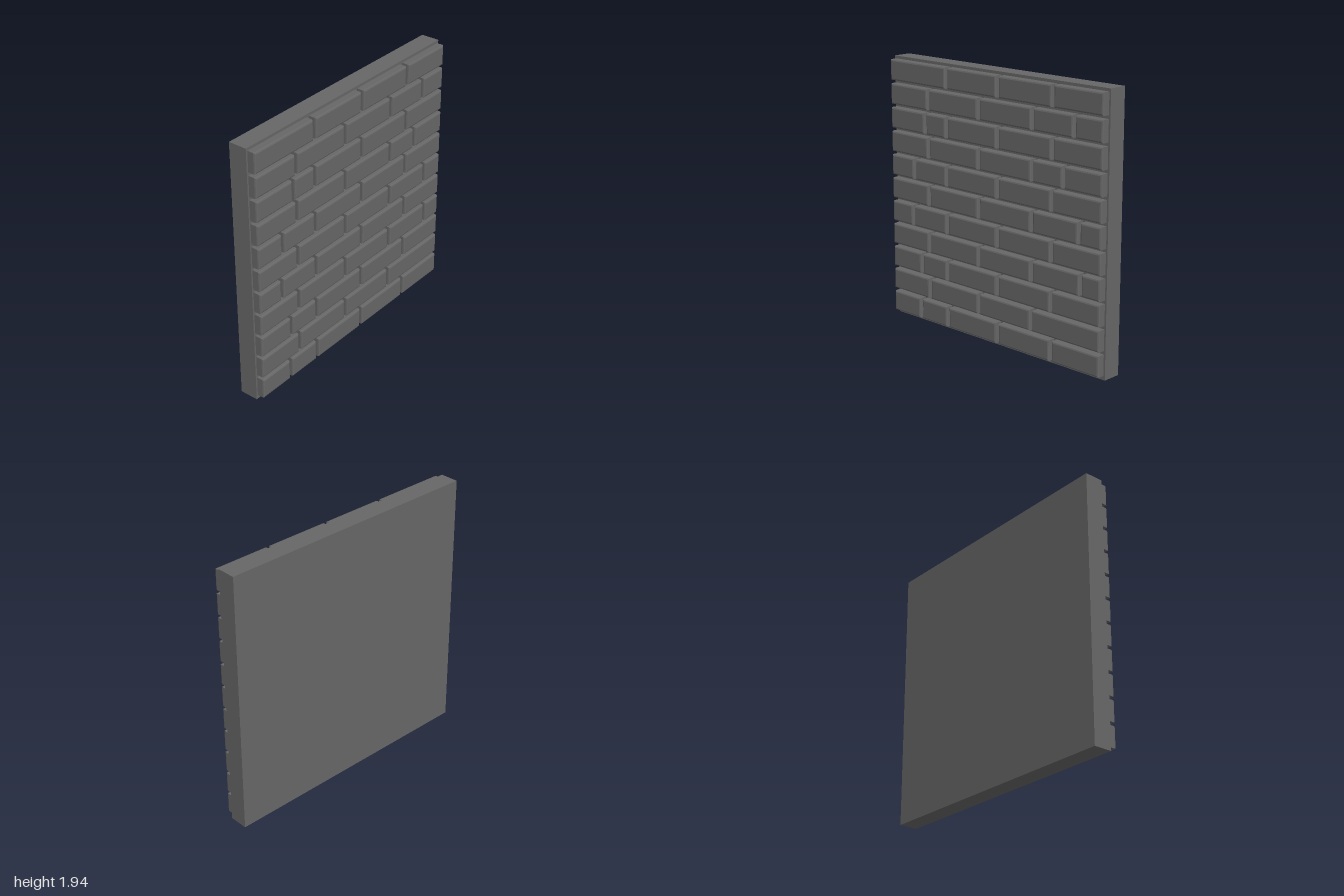
import * as THREE from 'three';

const material = new THREE.MeshStandardMaterial({ color: 0x666666, flatShading: true });

const BEVEL = 0.012, GAP = 0.026, EDGE = 0.987;
const ROW_PITCH = 0.174, ROW_BOTTOM = 0.03, BRICK_HEIGHT = 0.15;
const SLAB_BACK = -0.0975, SLAB_FACE = 0.04, BRICK_FACE = 0.0975;

// Shared joints of the two alternating bond patterns (z centres of the gaps)
const EVEN = [0.42, -0.07, -0.565];
const ODD = [0.603, 0.107, -0.387];
// Additional cut joint of each course, bottom to top (null where uncut)
const EXTRA = [0.7, null, 0.685, -0.82, 0.768, -0.802, 0.75, -0.665, 0.635, -0.75, null];

// Brick with bevelled front edges; its back is sunk into the slab
function brickGeometry(length, height) {
  const w = length / 2 - BEVEL, h = height / 2 - BEVEL;
  const outline = new THREE.Shape([
    new THREE.Vector2(-w, -h), new THREE.Vector2(w, -h),
    new THREE.Vector2(w, h), new THREE.Vector2(-w, h),
  ]);
  const sunk = SLAB_FACE - 0.02;
  const geometry = new THREE.ExtrudeGeometry(outline, {
    depth: BRICK_FACE - sunk - 2 * BEVEL,
    bevelEnabled: true, bevelSize: BEVEL, bevelThickness: BEVEL, bevelSegments: 2,
  });
  return geometry.translate(0, 0, sunk + BEVEL).rotateY(Math.PI / 2);
}

export function createModel() {
  const wall = new THREE.Group();
  wall.name = 'brickWall';

  // Backing slab
  const slab = new THREE.Mesh(new THREE.BoxGeometry(SLAB_FACE - SLAB_BACK, 1.94, 2), material);
  slab.name = 'backingSlab';
  slab.position.set((SLAB_FACE + SLAB_BACK) / 2, 0.97, 0);
  wall.add(slab);

  // Brick courses
  EXTRA.forEach((cut, row) => {
    const course = new THREE.Group();
    course.name = `course${row + 1}`;
    course.position.y = ROW_BOTTOM + BRICK_HEIGHT / 2 + row * ROW_PITCH;
    const joints = [...(row % 2 ? ODD : EVEN)];
    if (cut !== null) joints.push(cut);
    joints.sort((a, b) => b - a);
    const stops = [EDGE + GAP / 2, ...joints, -EDGE - GAP / 2];
    for (let i = 0; i < stops.length - 1; i++) {
      const length = stops[i] - stops[i + 1] - GAP;
      const brick = new THREE.Mesh(brickGeometry(length, BRICK_HEIGHT), material);
      brick.name = 'brick';
      brick.position.z = (stops[i] + stops[i + 1]) / 2;
      course.add(brick);
    }
    wall.add(course);
  });

  return wall;
}
